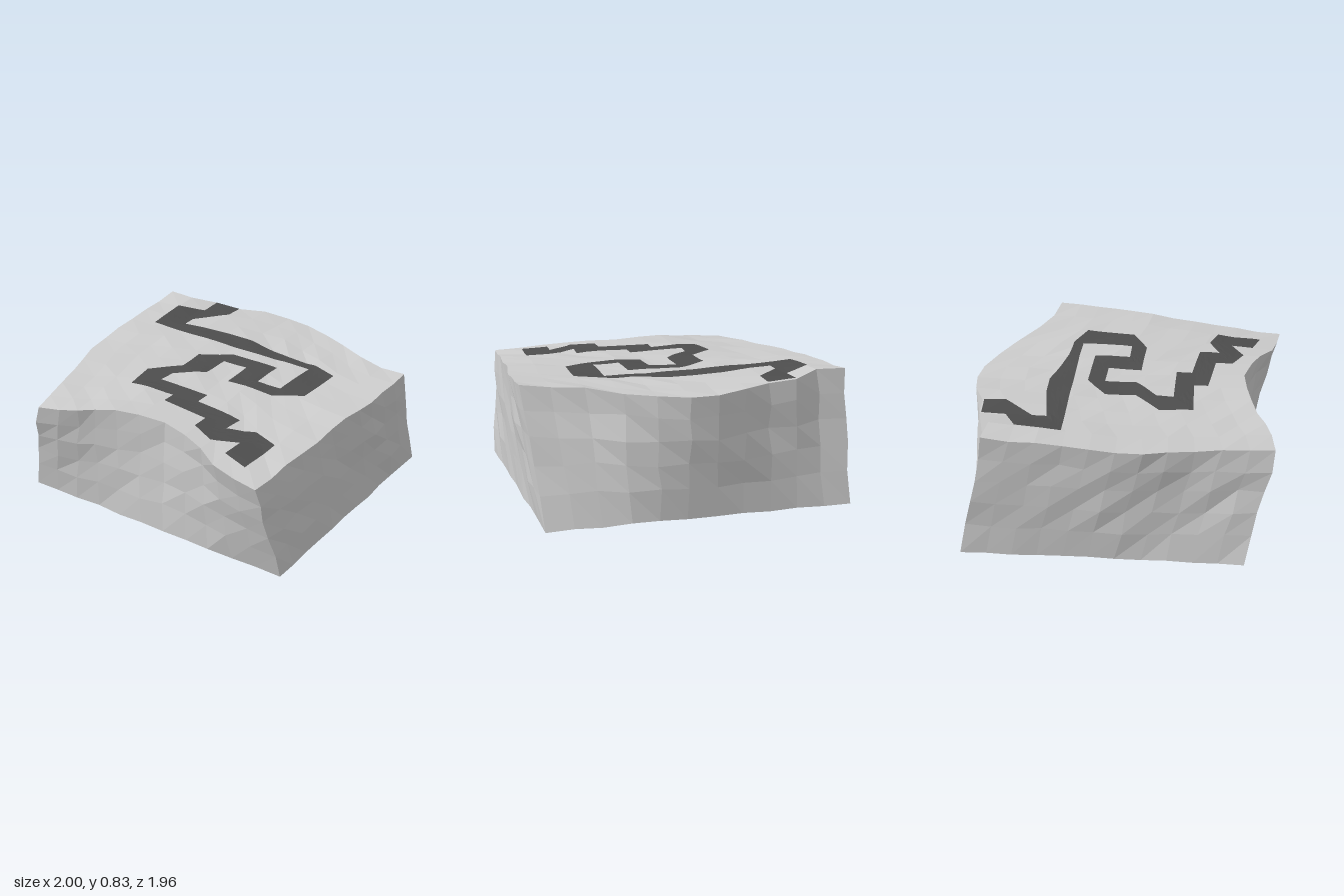
import * as THREE from 'three';

const NX = 11, NY = 5, NZ = 11;
const V = (x, y, z) => new THREE.Vector3(x, y, z);
const curve = (pts) => new THREE.CatmullRomCurve3(pts.map((p) => V(...p)), false, 'centripetal');

// Rims of the upper surface, each running from -x to +x or from back to front
const back = curve([
  [-1, .83, -.79], [-.82, .83, -.78], [-.65, .81, -.86], [-.47, .80, -.88], [-.3, .785, -.95], [-.12, .77, -.98],
  [.05, .765, -.965], [.23, .765, -.89], [.42, .78, -.8], [.62, .79, -.67], [.82, .8, -.6], [1, .81, -.57]]);
const front = curve([
  [-.78, .71, .94], [-.62, .715, .915], [-.51, .73, .87], [-.41, .745, .825], [-.28, .765, .79], [-.12, .768, .75],
  [.06, .76, .735], [.24, .76, .78], [.4, .74, .84], [.54, .72, .92], [.71, .70, .96], [.87, .685, .975]]);
const left = curve([[-1, .83, -.79], [-1, .8, -.35], [-.99, .765, .08], [-.88, .735, .5], [-.78, .71, .94]]);
const right = curve([[1, .81, -.57], [.985, .79, -.2], [.94, .765, .15], [.905, .72, .57], [.87, .685, .975]]);

// Four corners blended across u (x) and v (z)
const blend = (a, b, c, d, u, v) =>
  a.clone().lerp(b, u).lerp(c.clone().lerp(d, u), v);

function topPoint(u, v) {
  const corners = blend(back.getPoint(0), back.getPoint(1), front.getPoint(0), front.getPoint(1), u, v);
  return back.getPoint(u).lerp(front.getPoint(u), v)
    .add(left.getPoint(v).lerp(right.getPoint(v), u))
    .sub(corners);
}

const bottomPoint = (u, v) =>
  blend(V(-.99, .012, -.96), V(.93, .01, -.935), V(-.98, .012, .78), V(.93, .008, .79), u, v);

// Repeatable value in -1..1 for a lattice node
function hash(i, j, k, n) {
  const s = Math.sin(i * 12.99 + j * 78.23 + k * 37.72 + n * 19.19) * 43758.55;
  return (s - Math.floor(s)) * 2 - 1;
}

// Node of the rock lattice, roughened slightly
function node(i, j, k) {
  const u = i / NX, v = k / NZ;
  const p = bottomPoint(u, v).lerp(topPoint(u, v), Math.pow(j / NY, .87));
  const amp = j === 0 || j === NY ? .006 : .011;
  p.add(V(hash(i, j, k, 1), hash(i, j, k, 2), hash(i, j, k, 3)).multiplyScalar(amp));
  return V(THREE.MathUtils.clamp(p.x, -1, 1), Math.max(p.y, 0), p.z);
}

// Grid surface whose normal is (a direction) x (b direction)
function surface(name, na, nb, point, material) {
  const pos = [], index = [];
  for (let a = 0; a <= na; a++) {
    for (let b = 0; b <= nb; b++) {
      pos.push(...point(a, b).toArray());
      if (a === na || b === nb) continue;
      const p = a * (nb + 1) + b, q = p + nb + 1;
      index.push(p, q, q + 1, p, q + 1, p + 1);
    }
  }
  let geo = new THREE.BufferGeometry();
  geo.setAttribute('position', new THREE.Float32BufferAttribute(pos, 3));
  geo.setIndex(index);
  geo = geo.toNonIndexed();
  geo.computeVertexNormals();
  const mesh = new THREE.Mesh(geo, material);
  mesh.name = name;
  return mesh;
}

// Winding trail: both banks at each station, as [x, z, x, z]
const trail = [
  [-.65, -.85, -.465, -.865], [-.65, -.70, -.465, -.73], [-.82, -.62, -.64, -.54], [-.82, -.34, -.64, -.45],
  [-.3, -.35, -.3, -.5], [-.12, -.35, -.12, -.505], [.23, -.355, .24, -.425], [.42, -.35, .43, -.415],
  [.42, -.35, .61, -.34], [.41, -.02, .59, -.02], [.41, -.02, .41, .08], [.24, -.02, .07, .07],
  [.24, -.25, .07, -.145], [-.11, -.26, -.11, -.15], [-.3, -.13, -.11, -.15], [-.29, .06, -.11, .05],
  [-.46, .22, -.28, .19], [-.43, .43, -.29, .3], [-.11, .42, .07, .3], [-.11, .51, .07, .4],
  [.23, .55, .41, .44], [.23, .66, .4, .57], [.39, .73, .57, .5], [.55, .65, .73, .55], [.54, .79, .71, .84]];

export function createModel() {
  const group = new THREE.Group();
  group.name = 'terrainBlock';
  const rock = new THREE.MeshStandardMaterial({ color: 0xcccccc, flatShading: true });
  const dark = new THREE.MeshStandardMaterial({ color: 0x4d4d4d, flatShading: true });

  // Six sides of the block
  const ground = surface('upperGround', NZ, NX, (a, b) => node(b, NY, a), rock);
  group.add(
    ground,
    surface('underside', NX, NZ, (a, b) => node(a, 0, b), rock),
    surface('frontCliff', NX, NY, (a, b) => node(a, b, NZ), rock),
    surface('backCliff', NY, NX, (a, b) => node(b, a, 0), rock),
    surface('leftCliff', NY, NZ, (a, b) => node(NX, a, b), rock),
    surface('rightCliff', NZ, NY, (a, b) => node(0, b, a), rock));

  // Trail draped onto the ground
  const ray = new THREE.Raycaster();
  const drape = (x, z) => {
    ray.set(V(x, 2, z), V(0, -1, 0));
    const hit = ray.intersectObject(ground)[0];
    return V(x, (hit ? hit.point.y : .81) + .006, z);
  };
  const steps = 5, across = 5, lerp = THREE.MathUtils.lerp;
  group.add(surface('trail', (trail.length - 1) * steps, across, (a, b) => {
    const s = Math.min(Math.floor(a / steps), trail.length - 2), t = a / steps - s;
    const [ax, az, bx, bz] = trail[s].map((c, n) => lerp(c, trail[s + 1][n], t));
    return drape(lerp(ax, bx, b / across), lerp(az, bz, b / across));
  }, dark));

  return group;
}
